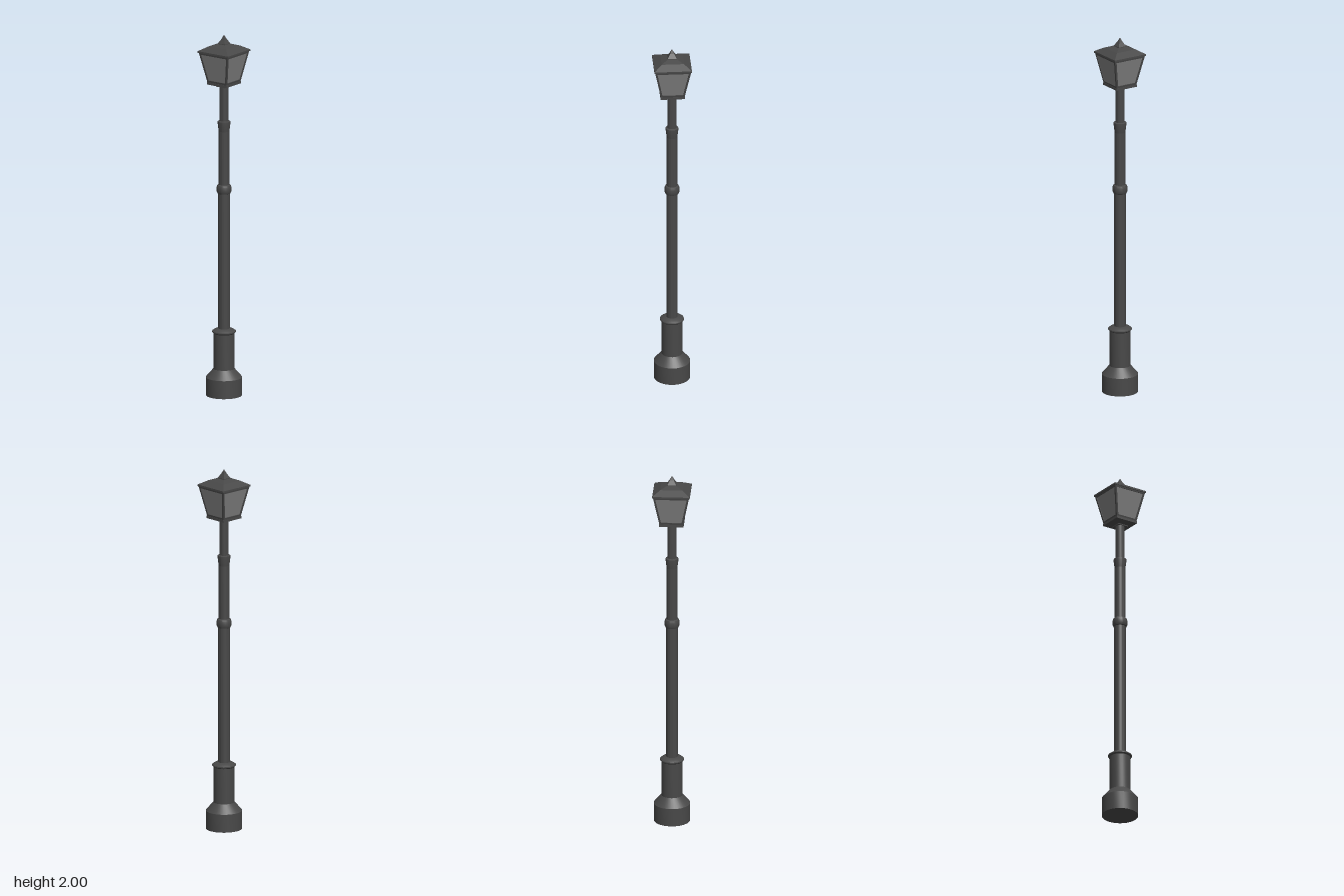
import * as THREE from 'three';
import { toCreasedNormals } from 'three/addons/utils/BufferGeometryUtils.js';

const metal = new THREE.MeshStandardMaterial({ color: 0x484848 });
const glassMat = new THREE.MeshStandardMaterial({ color: 0x808080, side: THREE.DoubleSide });

const points = (list) => list.map(([r, y]) => new THREE.Vector2(r, y));

// Turned part: profile of [radius, y], bottom to top
function turned(name, profile) {
  const geometry = new THREE.LatheGeometry(points(profile), 32);
  const mesh = new THREE.Mesh(toCreasedNormals(geometry, 0.5), metal);
  mesh.name = name;
  return mesh;
}

// Square part: profile of [half width, y], bottom to top
function square(name, profile, material = metal) {
  const wide = profile.map(([w, y]) => [w * Math.SQRT2, y]);
  const geometry = new THREE.LatheGeometry(points(wide), 4, Math.PI / 4);
  const mesh = new THREE.Mesh(toCreasedNormals(geometry, 0.05), material);
  mesh.name = name;
  return mesh;
}

// Lantern body limits
const LOW = 1.74, HIGH = 1.905, W_LOW = 0.064, W_HIGH = 0.097;

// Tilted trapezoid frame with a window, one per lantern side
function sideFrame() {
  const run = W_HIGH - W_LOW, rise = HIGH - LOW;
  const length = Math.hypot(run, rise);
  const border = 0.01;
  const half = (t) => W_LOW + run * t / length;
  const trapezoid = (a, b, inset) => [
    [-half(a) + inset, a], [half(a) - inset, a], [half(b) - inset, b], [-half(b) + inset, b],
  ];
  const shape = new THREE.Shape(points(trapezoid(0, length, 0)));
  shape.holes.push(new THREE.Path(points(trapezoid(border, length - border, border)).reverse()));
  const geometry = new THREE.ExtrudeGeometry(shape, { depth: 0.008, bevelEnabled: false });
  geometry.translate(0, 0, -0.008);
  geometry.rotateX(Math.atan2(run, rise));
  geometry.translate(0, LOW, W_LOW);
  return geometry;
}

export function createModel() {
  const model = new THREE.Group();
  model.name = 'streetLamp';

  // Post
  model.add(turned('base', [
    [0, 0], [0.098, 0], [0.098, 0.1], [0.057, 0.147], [0.057, 0.343],
    [0.064, 0.35], [0.064, 0.356], [0.05, 0.366], [0.031, 0.37],
  ]));
  model.add(turned('lowerPole', [[0.031, 0.36], [0.031, 1.15]]));
  model.add(turned('middleCollar', [
    [0.029, 1.118], [0.036, 1.122], [0.04, 1.132], [0.04, 1.155], [0.036, 1.166], [0.028, 1.17],
  ]));
  model.add(turned('middlePole', [[0.029, 1.15], [0.029, 1.47]]));
  model.add(turned('upperCollar', [
    [0.026, 1.463], [0.029, 1.465], [0.034, 1.505], [0.034, 1.52], [0.024, 1.524],
  ]));
  model.add(turned('upperPole', [[0.025, 1.5], [0.025, 1.725]]));

  // Lantern
  const lantern = new THREE.Group();
  lantern.name = 'lantern';
  lantern.add(square('lanternFloor', [
    [0, 1.713], [0.03, 1.713], [0.03, 1.718], [0.066, 1.727], [0.066, LOW], [0, LOW],
  ]));
  lantern.add(square('glass', [[W_LOW - 0.004, LOW], [W_HIGH - 0.004, HIGH]], glassMat));
  const frameGeometry = sideFrame();
  for (let i = 0; i < 4; i++) {
    const frame = new THREE.Mesh(frameGeometry, metal);
    frame.name = 'windowFrame';
    frame.rotation.y = i * Math.PI / 2;
    lantern.add(frame);
  }
  lantern.add(square('roof', [
    [0, HIGH], [0.101, HIGH], [0.101, 1.914], [0.06, 1.938], [0.02, 1.951], [0, 1.951],
  ]));
  lantern.add(square('finial', [[0.024, 1.946], [0.024, 1.953], [0.011, 1.975], [0, 2]]));
  model.add(lantern);

  return model;
}
